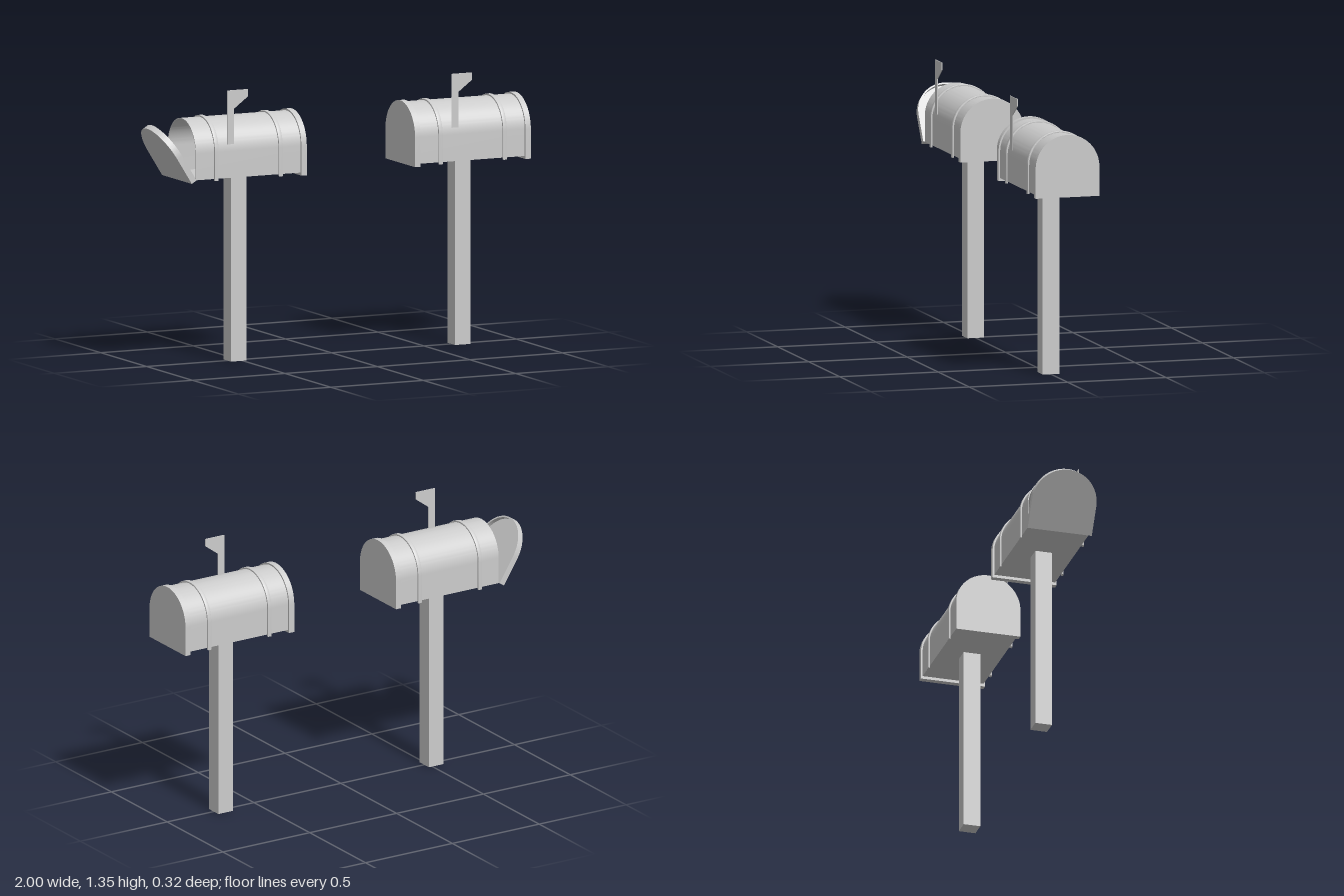
import * as THREE from 'three';
import { toCreasedNormals } from 'three/addons/utils/BufferGeometryUtils.js';

const grey = new THREE.MeshStandardMaterial({ color: 0xcccccc });
const ARCH_Y = 1.05; // height of the arch centre
const R_BODY = 0.154, R_RIM = 0.162;
const BODY_BOTTOM = 0.92, RIM_BOTTOM = 0.906;

// Flat-bottomed, round-topped outline
function archOutline(path, r, bottom) {
  path.moveTo(-r, bottom);
  path.lineTo(r, bottom);
  path.lineTo(r, ARCH_Y);
  path.absarc(0, ARCH_Y, r, 0, Math.PI, false);
  path.closePath();
  return path;
}

function archFrame(outer, outerBottom, inner, innerBottom) {
  const shape = archOutline(new THREE.Shape(), outer, outerBottom);
  shape.holes.push(archOutline(new THREE.Path(), inner, innerBottom));
  return shape;
}

// Hoop that is open along the bottom
function hoopShape(outer, inner, bottom) {
  const s = new THREE.Shape();
  s.moveTo(inner, bottom);
  s.lineTo(outer, bottom);
  s.lineTo(outer, ARCH_Y);
  s.absarc(0, ARCH_Y, outer, 0, Math.PI, false);
  s.lineTo(-outer, bottom);
  s.lineTo(-inner, bottom);
  s.lineTo(-inner, ARCH_Y);
  s.absarc(0, ARCH_Y, inner, Math.PI, 0, true);
  s.closePath();
  return s;
}

// Extrude a cross-section along x, from x0 to x1
function alongX(name, shape, x0, x1, bevel = 0) {
  let geo = new THREE.ExtrudeGeometry(shape, {
    depth: x1 - x0 - 2 * bevel, curveSegments: 32,
    bevelEnabled: bevel > 0, bevelSize: bevel, bevelThickness: bevel,
    bevelOffset: -bevel, bevelSegments: 2
  });
  geo.translate(0, 0, x0 + bevel);
  geo.rotateY(Math.PI / 2);
  const mesh = new THREE.Mesh(toCreasedNormals(geo, 0.5), grey);
  mesh.name = name;
  return mesh;
}

// Shallow cup: a rim with an end plate at plateX0..plateX1
function cap(name, x0, x1, plateX0, plateX1) {
  const g = new THREE.Group();
  g.name = name;
  g.add(
    alongX(name + 'Rim', archFrame(R_RIM, RIM_BOTTOM, R_BODY, BODY_BOTTOM), x0, x1),
    alongX(name + 'Plate', archOutline(new THREE.Shape(), R_BODY, BODY_BOTTOM), plateX0, plateX1)
  );
  return g;
}

// One mailbox, with its post centred on x = 0
function mailbox(name, doorAngle) {
  const g = new THREE.Group();
  g.name = name;

  // Post
  const post = new THREE.Mesh(new THREE.BoxGeometry(0.084, BODY_BOTTOM, 0.084), grey);
  post.name = 'post';
  post.position.y = BODY_BOTTOM / 2;
  g.add(post);

  // Hollow body and its two raised hoops
  g.add(alongX('body', archFrame(R_BODY, BODY_BOTTOM, R_BODY - 0.004, BODY_BOTTOM + 0.004), -0.288, 0.304));
  for (const x of [-0.178, 0.169]) {
    g.add(alongX('hoop', hoopShape(R_RIM, R_BODY - 0.002, 0.91), x - 0.011, x + 0.011, 0.003));
  }

  // Back cap
  g.add(cap('backCap', 0.279, 0.308, 0.3, 0.308));

  // Door hinged along its bottom edge
  const hinge = new THREE.Group();
  hinge.name = 'doorHinge';
  const door = cap('door', -0.03, 0, -0.03, -0.021);
  door.position.y = -RIM_BOTTOM;
  hinge.add(door);
  hinge.position.set(-0.288, doorAngle ? 0.921 : RIM_BOTTOM, 0);
  hinge.rotation.z = doorAngle;
  g.add(hinge);

  // Raised signal flag on the front side
  const outline = [[-0.118, 1.085], [-0.082, 1.085], [-0.082, 1.258],
    [-0.008, 1.313], [-0.008, 1.349], [-0.118, 1.349]];
  const flagShape = new THREE.Shape(outline.map(([x, y]) => new THREE.Vector2(x, y)));
  const flag = new THREE.Mesh(
    new THREE.ExtrudeGeometry(flagShape, { depth: 0.004, bevelEnabled: false }), grey);
  flag.name = 'flag';
  flag.position.z = 0.153;
  g.add(flag);
  return g;
}

export function createModel() {
  const model = new THREE.Group();
  model.name = 'mailboxes';
  const open = mailbox('openMailbox', THREE.MathUtils.degToRad(32));
  open.position.x = -0.522;
  const closed = mailbox('closedMailbox', 0);
  closed.position.x = 0.69;
  model.add(open, closed);
  return model;
}
